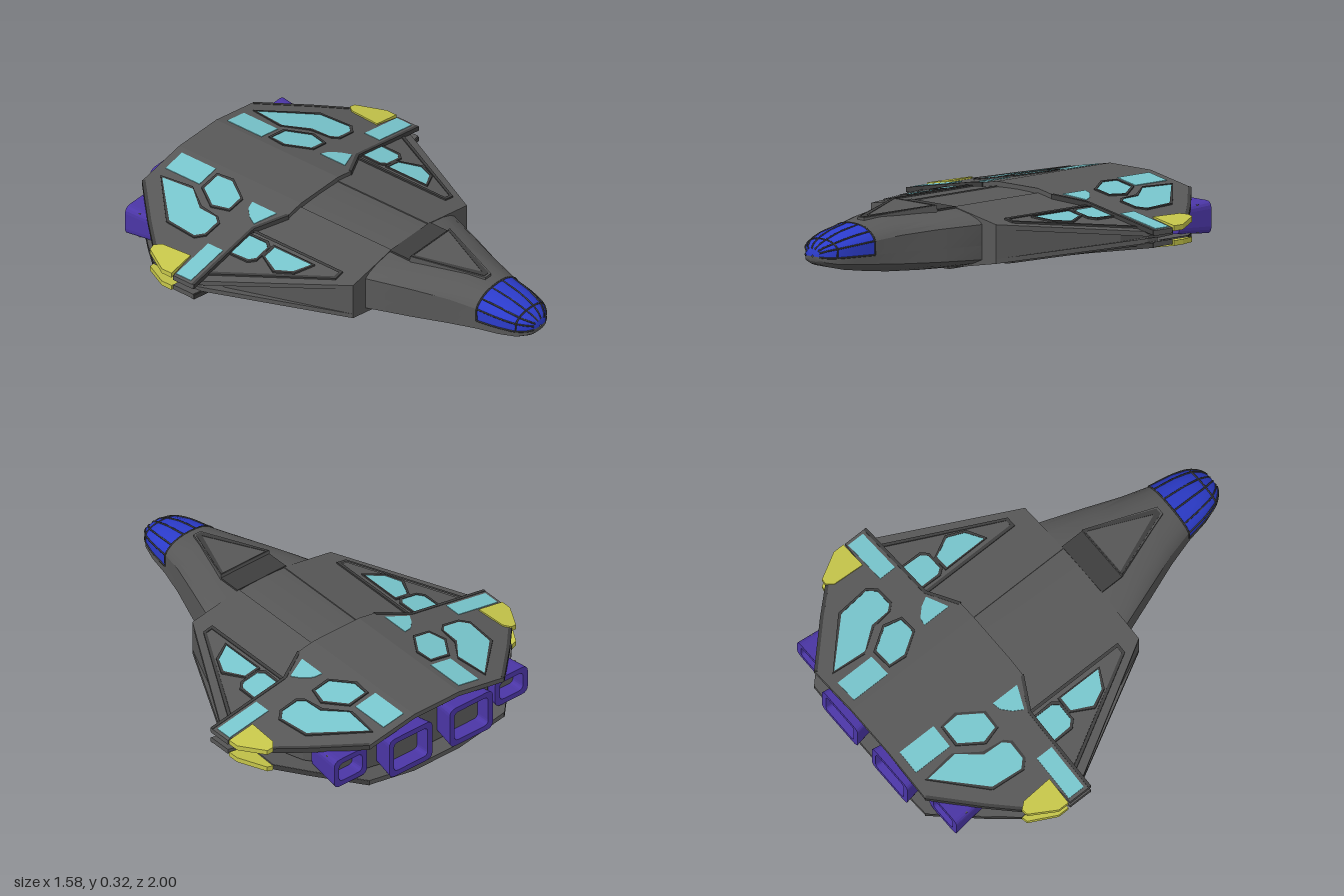
import * as THREE from 'three';
import { toCreasedNormals } from 'three/addons/utils/BufferGeometryUtils.js';

const H = 0.315, FLAT = 0.13;
const mat = (name, color, side = THREE.FrontSide) =>
  Object.assign(new THREE.MeshStandardMaterial({ color, side }), { name });

// height of the folded upper shell: flat spine, sloping wings
const fold = (x) => H - 0.182 * Math.max(0, Math.abs(x) - FLAT);

const toShape = (pts) => new THREE.Shape(pts.map(([x, z]) => new THREE.Vector2(x, -z)));

// extrude a plan outline [x, z], then place each vertex with yOf(x, z, t), t = 0 bottom, 1 top
function slab(pts, yOf, hole) {
  const shape = toShape(pts);
  if (hole) shape.holes.push(new THREE.Path(toShape(hole).getPoints()));
  const g = new THREE.ExtrudeGeometry(shape, { depth: 1, bevelEnabled: false });
  const p = g.attributes.position;
  for (let i = 0; i < p.count; i++) {
    const x = p.getX(i), z = -p.getY(i);
    p.setXYZ(i, x, yOf(x, z, p.getZ(i)), z);
  }
  g.computeVertexNormals();
  return g;
}

// skin through rows of points running front to back
function loft(rows) {
  const pos = rows.flat().flatMap((v) => [v.x, v.y, v.z]), idx = [], n = rows[0].length;
  for (let i = 0; i < rows.length - 1; i++)
    for (let j = 0; j < n - 1; j++) {
      const a = i * n + j, c = a + n;
      idx.push(a, a + 1, c, a + 1, c + 1, c);
    }
  const g = new THREE.BufferGeometry();
  g.setAttribute('position', new THREE.Float32BufferAttribute(pos, 3));
  g.setIndex(idx);
  return toCreasedNormals(g, 0.5);
}

export function createModel() {
  const hull = mat('hull grey', 0x585858, THREE.DoubleSide);
  const trim = mat('dark trim', 0x3e3e3e);
  const teal = mat('teal panel', 0x78c6cd);
  const yellow = mat('yellow marker', 0xc6c64a);
  const blue = mat('canopy blue', 0x2c3ccc, THREE.DoubleSide);
  const purple = mat('engine purple', 0x4b36a6);

  const model = new THREE.Group();
  const add = (name, geo, m) => {
    const mesh = new THREE.Mesh(geo, m);
    mesh.name = name;
    model.add(mesh);
    return mesh;
  };
  const flip = (pts) => pts.map(([x, z]) => [-x, z]);

  // plate following the shell; mirrored left/right and, by choice, below
  function plate(name, m, pts, top, bot, { below = true, sides = true, hole } = {}) {
    const up = (x, z, t) => fold(x) + bot + (top - bot) * t;
    const down = (x, z, t) => H - (fold(x) + top + (bot - top) * t);
    for (const y of below ? [up, down] : [up]) {
      add(name, slab(pts, y, hole), m);
      if (sides) add(name, slab(flip(pts), y, hole && flip(hole)), m);
    }
  }

  // coloured panel with a raised dark rim
  function panel(name, pts, base, below, rim = 0.014) {
    const cx = pts.reduce((s, p) => s + p[0], 0) / pts.length;
    const cz = pts.reduce((s, p) => s + p[1], 0) / pts.length;
    const outer = pts.map(([x, z]) => {
      const l = Math.hypot(x - cx, z - cz), k = (l + rim) / l;
      return [cx + (x - cx) * k, cz + (z - cz) * k];
    });
    plate(name, teal, pts, base + 0.003, base - 0.004, { below });
    if (rim) plate(name + 'Frame', trim, outer, base + 0.006, base - 0.004, { below, hole: pts });
  }

  // fuselage sections: z, half width, top, wall top, wall bottom, bottom
  const sections = [
    [1.0, 0.004, 0.15, 0.148, 0.142, 0.14], [0.995, 0.04, 0.175, 0.16, 0.13, 0.12],
    [0.98, 0.065, 0.192, 0.17, 0.12, 0.106], [0.94, 0.098, 0.215, 0.18, 0.112, 0.092],
    [0.86, 0.124, 0.243, 0.19, 0.105, 0.073], [0.75, 0.142, 0.264, 0.2, 0.095, 0.056],
    [0.62, 0.178, 0.286, 0.215, 0.086, 0.04], [0.45, 0.24, 0.292, 0.228, 0.08, 0.03],
    [0.25, 0.312, 0.295, 0.236, 0.077, 0.024], [-0.4, 0.312, 0.295, 0.236, 0.077, 0.024],
  ];
  const crown = [[1, 0], [0.92, 0.3], [0.75, 0.62], [0.5, 0.87], [0.25, 0.97]];
  const keel = [[1, 0], [0.8, 0.48], [0.45, 1]];
  const mirrorArc = (a, mid) => [...a.map(([x, y]) => [-x, y]), ...mid, ...[...a].reverse()];
  const over = sections.map(([z, w, top, wt, wb]) => {
    const low = new THREE.Vector3(w, wb + (wt - wb) * 0.4, z);
    return [low.clone().setX(-w),
      ...mirrorArc(crown, [[0, 1]]).map(([x, y]) => new THREE.Vector3(x * w, wt + (top - wt) * y, z)), low];
  });
  const under = sections.map(([z, w, top, wt, wb, bot], i) => [over[i].at(-1),
    ...mirrorArc(keel, []).reverse().map(([x, y]) => new THREE.Vector3(x * w, wb + (bot - wb) * y, z)), over[i][0]]);
  add('canopy', loft(over.slice(0, 6)), blue);
  add('fuselageTop', loft(over.slice(5)), hull);
  add('fuselageBottom', loft(under), hull);

  // canopy bars along and across the glass
  const bar = (pts) => add('canopyBar',
    new THREE.TubeGeometry(new THREE.CatmullRomCurve3(pts), 24, 0.0042, 5), trim);
  for (const j of [0, 1, 3, 5, 7, 9, 11, 12]) bar(over.slice(1, 6).map((r) => r[j]));
  for (const i of [3, 5]) bar(over[i]);

  // rear-facing dorsal scoop
  const scoopY = (x, z, t) => (t ? 0.315 - Math.max(0, z - 0.365) * 0.092 : 0.25);
  add('scoop', slab([[-0.02, 0.7], [0.02, 0.7], [0.14, 0.365], [-0.14, 0.365]], scoopY), hull);
  add('scoopRim', slab([[-0.015, 0.69], [0.015, 0.69], [0.137, 0.367], [-0.137, 0.367]],
    (x, z, t) => scoopY(x, z, 1) + 0.002 * t, [[0, 0.665], [0.122, 0.372], [-0.122, 0.372]]), trim);
  add('scoopFloor', slab([[-0.14, 0.365], [0.14, 0.365], [0.14, 0.25], [-0.14, 0.25]],
    (x, z, t) => 0.288 + 0.009 * t), trim);

  // belly hatch
  add('bellyHatch', slab([[-0.14, 0.29], [0.14, 0.29], [0.14, -0.15], [-0.14, -0.15]],
    (x, z, t) => 0.018 + 0.02 * t), hull);

  // inner core closing the space between the upper and lower shells
  const coreY = (x, z, t) => (t ? fold(x) - 0.03 : H - fold(x) + 0.03);
  const core = [[FLAT, 0.25], [0.4, 0.25], [0.65, -0.28], [0.65, -0.45], [0.55, -0.7], [0.36, -0.89], [FLAT, -0.89]];
  add('core', slab(core, coreY), hull);
  add('core', slab(flip(core), coreY), hull);
  add('core', slab([[-FLAT, 0], [FLAT, 0], [FLAT, -0.89], [-FLAT, -0.89]], coreY), hull);

  // forward wing layer with a raised triangular field
  plate('forwardWing', hull, [[FLAT, 0.25], [0.4, 0.25], [0.74, -0.36], [0.74, -0.42], [FLAT, -0.42]], -0.02, -0.042);
  plate('wingField', hull, [[0.375, -0.35], [0.375, 0.145], [0.405, 0.145], [0.67, -0.35]], -0.016, -0.03);
  plate('wingFieldEdge', trim, [[0.36, -0.35], [0.36, 0.16], [0.412, 0.16], [0.69, -0.35]], -0.012, -0.03,
    { hole: [[0.375, -0.345], [0.375, 0.145], [0.405, 0.145], [0.67, -0.345]] });

  // rear wing shell: two sloping wings and a flat spine
  plate('rearWing', hull, [[FLAT, -0.27], [0.22, -0.27], [0.37, -0.35], [0.79, -0.35], [0.79, -0.465],
    [0.68, -0.475], [0.69, -0.66], [0.58, -0.78], [0.39, -0.97], [FLAT, -0.97]], 0, -0.024);
  plate('spine', hull, [[-FLAT, -0.27], [FLAT, -0.27], [FLAT, -0.97], [-FLAT, -0.97]], 0, -0.024, { sides: false });
  plate('wingLip', trim, [[0.22, -0.265], [0.37, -0.345], [0.79, -0.345], [0.79, -0.36], [0.365, -0.36], [0.22, -0.282]],
    0.002, -0.02);
  plate('tailLip', trim, [[0.69, -0.662], [0.58, -0.782], [0.39, -0.972], [0.38, -0.96], [0.57, -0.77], [0.68, -0.65]],
    0.002, -0.022);
  plate('wingtipMarker', yellow, [[0.655, -0.475], [0.79, -0.475], [0.79, -0.53], [0.72, -0.655], [0.69, -0.66], [0.665, -0.63]],
    0.008, -0.016);

  // inset teal panels
  panel('largePanel', [[0.33, -0.905], [0.315, -0.74], [0.395, -0.635], [0.4, -0.54], [0.425, -0.51],
    [0.51, -0.51], [0.545, -0.545], [0.53, -0.7]], 0, true);
  panel('hexPanel', [[0.285, -0.7], [0.19, -0.7], [0.185, -0.62], [0.25, -0.52], [0.33, -0.52], [0.35, -0.6]], 0, true);
  panel('tailPanel', [[0.16, -0.93], [0.275, -0.93], [0.275, -0.735], [0.16, -0.735]], 0, false, 0);
  panel('tipPanel', [[0.55, -0.46], [0.775, -0.46], [0.775, -0.375], [0.55, -0.375]], 0, false, 0);
  panel('quarterPanel', [[0.24, -0.46], [0.28, -0.45], [0.32, -0.41], [0.345, -0.365], [0.24, -0.32]], 0, false, 0);
  panel('wingPanel', [[0.4, -0.355], [0.53, -0.355], [0.525, -0.25], [0.5, -0.225], [0.42, -0.225], [0.4, -0.25]], -0.014, true);
  panel('foreWingPanel', [[0.47, -0.2], [0.4, -0.2], [0.4, 0.015], [0.48, -0.03], [0.515, -0.105]], -0.014, false);

  // flared engine nozzles
  const rounded = (Type, w, h, r) => {
    const s = new Type(), a = w / 2, b = h / 2;
    s.moveTo(-a + r, -b);
    s.lineTo(a - r, -b).quadraticCurveTo(a, -b, a, -b + r);
    s.lineTo(a, b - r).quadraticCurveTo(a, b, a - r, b);
    s.lineTo(-a + r, b).quadraticCurveTo(-a, b, -a, b - r);
    s.lineTo(-a, -b + r).quadraticCurveTo(-a, -b, -a + r, -b);
    return s;
  };
  const nozzle = (x, w, h, back, depth) => {
    const s = rounded(THREE.Shape, w, h, 0.035);
    s.holes.push(rounded(THREE.Path, w - 0.055, h - 0.055, 0.025));
    const g = new THREE.ExtrudeGeometry(s, { depth, bevelEnabled: false, curveSegments: 4 });
    const p = g.attributes.position;
    for (let i = 0; i < p.count; i++) {
      const k = 1 - 0.2 * (p.getZ(i) / depth);
      p.setXY(i, p.getX(i) * k, p.getY(i) * k);
    }
    g.computeVertexNormals();
    add('engineNozzle', g, purple).position.set(x, H / 2, back);
    const plug = new THREE.BoxGeometry(w * 0.85, h * 0.85, 0.01);
    add('engineThroat', plug, hull).position.set(x, H / 2, back + 0.07);
  };
  for (const s of [-1, 1]) {
    nozzle(s * 0.175, 0.25, 0.21, -1, 0.17);
    nozzle(s * 0.465, 0.19, 0.15, -0.93, 0.18);
  }
  return model;
}
